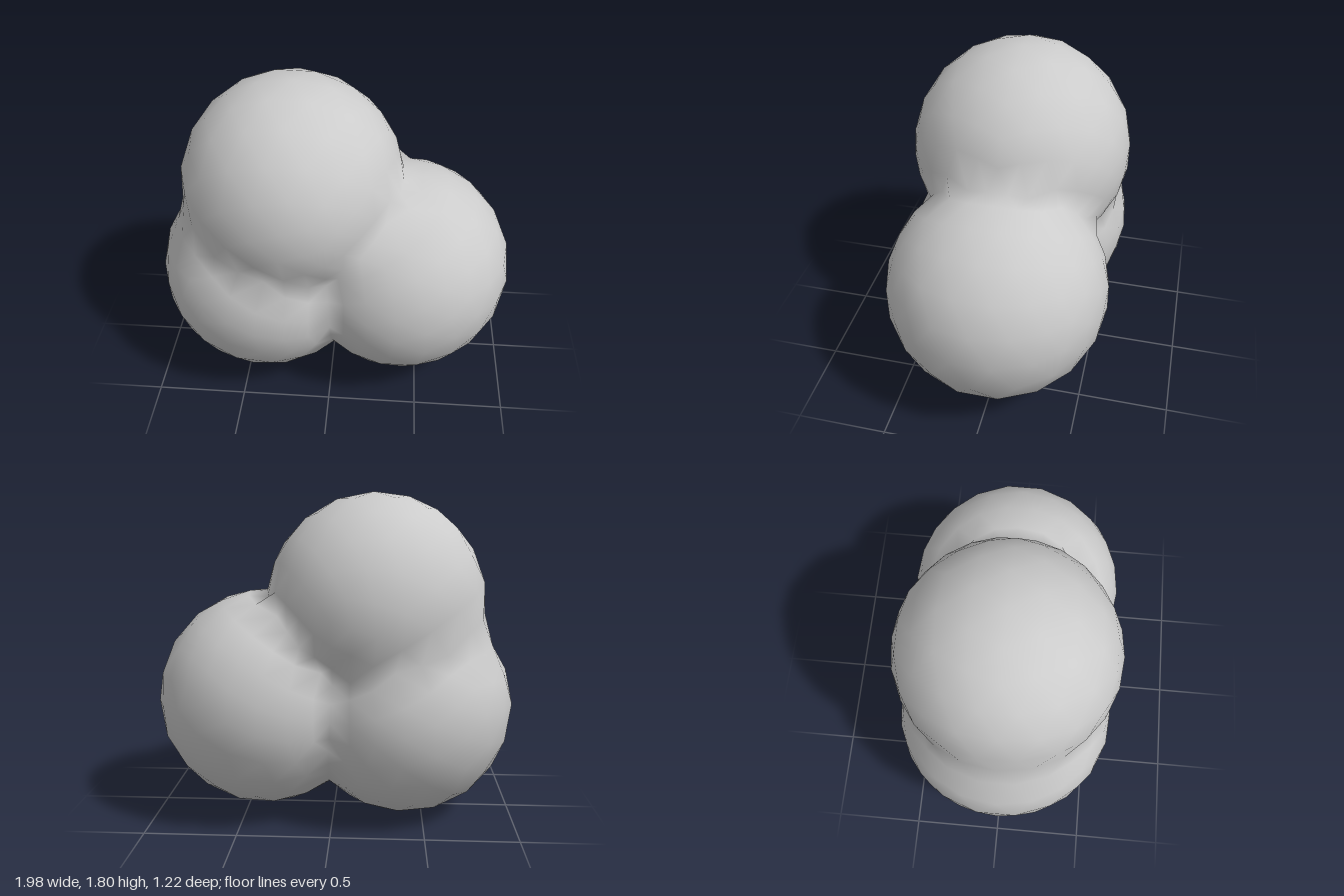
import * as THREE from 'three';
import { mergeVertices } from 'three/addons/utils/BufferGeometryUtils.js';

const RADIUS = 0.61;
const LOBES = [[-0.39, 0.61], [0.39, 0.65], [-0.23, 1.19]];
// Point equally far from all three lobe centres: every seam plane passes through it
const HUB = new THREE.Vector3(-0.01, 0.817, 0);

export function createModel() {
  const group = new THREE.Group();
  const offsets = LOBES.map(([x, y]) => new THREE.Vector3(x, y, 0).sub(HUB));

  // Ball whose vertices are pushed out to the union of the three lobes
  const ball = new THREE.IcosahedronGeometry(1, 5);
  ball.deleteAttribute('normal');
  ball.deleteAttribute('uv');
  const geometry = mergeVertices(ball, 1e-4);
  const pos = geometry.attributes.position;
  const dir = new THREE.Vector3();
  const seam = new THREE.Vector3();
  for (let i = 0; i < pos.count; i++) {
    dir.fromBufferAttribute(pos, i).normalize();
    // Pull vertices close to a seam between the two nearest lobes onto it
    const [first, second] = [...offsets].sort((a, b) => b.dot(dir) - a.dot(dir));
    seam.subVectors(first, second).normalize();
    const gap = dir.dot(seam);
    if (Math.abs(gap) < 0.075) dir.addScaledVector(seam, -gap).normalize();
    // Farthest exit point of the ray from the hub through the lobes
    const reach = Math.max(...offsets.map((c) => {
      const along = c.dot(dir);
      return along + Math.sqrt(along * along - c.lengthSq() + RADIUS * RADIUS);
    }));
    dir.multiplyScalar(reach).add(HUB);
    pos.setXYZ(i, dir.x, dir.y, dir.z);
  }
  geometry.computeVertexNormals();

  const body = new THREE.Mesh(geometry, new THREE.MeshStandardMaterial({ color: 0xcccccc }));
  body.name = 'threeLobedBody';
  group.add(body);
  return group;
}
